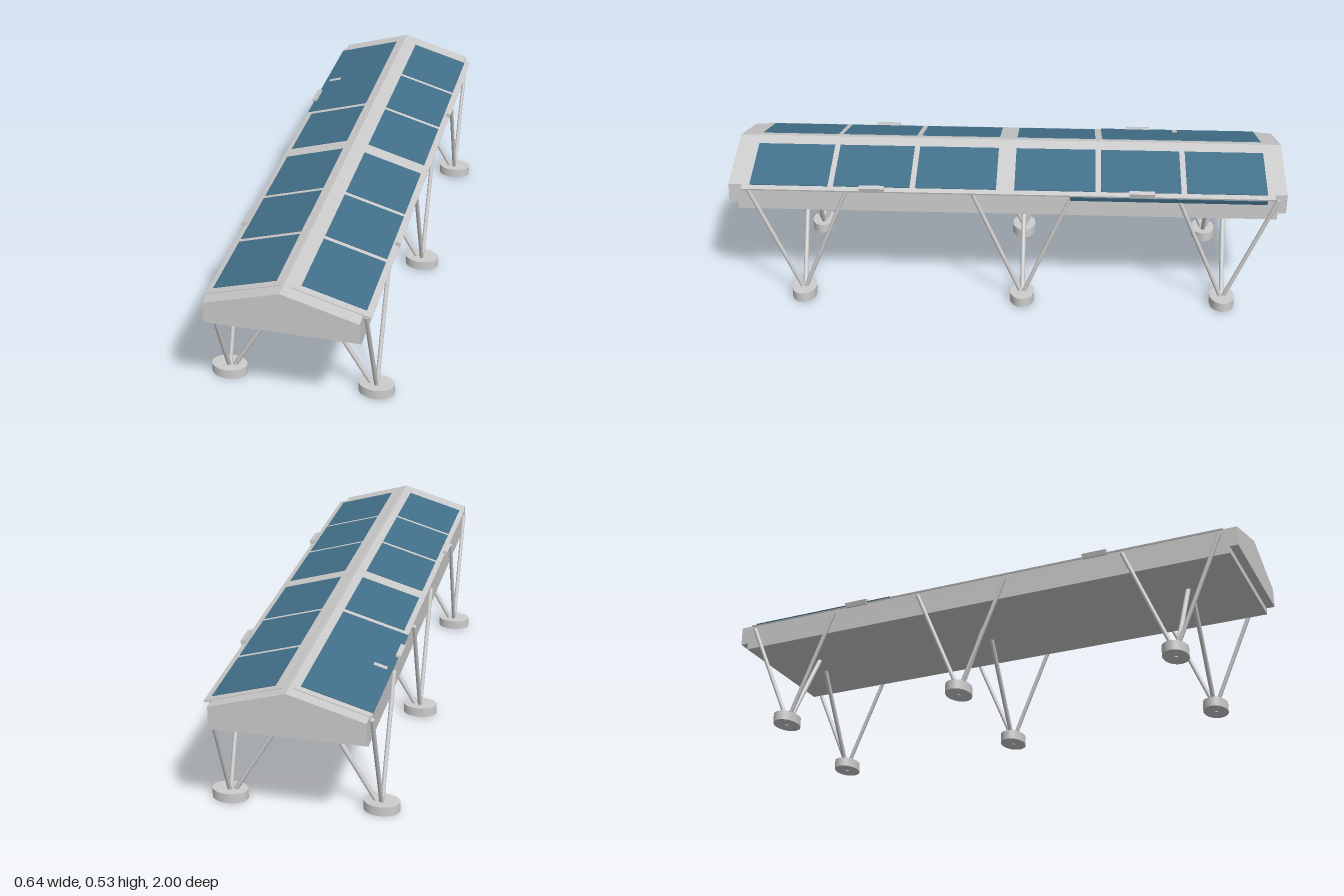
import * as THREE from 'three';

const grey = new THREE.MeshStandardMaterial({ color: 0xcccccc });
grey.name = 'light grey';
const blue = new THREE.MeshStandardMaterial({ color: 0x42708a });
blue.name = 'panel blue';

const SLOPE = Math.atan2(0.075, 0.257);

function add(parent, name, geometry, material, x = 0, y = 0, z = 0) {
  const mesh = new THREE.Mesh(geometry, material);
  mesh.name = name;
  mesh.position.set(x, y, z);
  parent.add(mesh);
  return mesh;
}

// Round tube between two points
function strut(parent, name, a, b, r) {
  const from = new THREE.Vector3(...a), to = new THREE.Vector3(...b);
  const dir = to.clone().sub(from);
  const mesh = add(parent, name, new THREE.CylinderGeometry(r, r, dir.length(), 16), grey);
  mesh.position.copy(from).add(to).multiplyScalar(0.5);
  mesh.quaternion.setFromUnitVectors(new THREE.Vector3(0, 1, 0), dir.normalize());
}

// Gabled hull with a shorter floor slab below
function buildBody(group) {
  const gable = new THREE.Shape();
  gable.moveTo(-0.257, 0.383);
  gable.lineTo(0.257, 0.383);
  gable.lineTo(0.257, 0.455);
  gable.lineTo(0, 0.53);
  gable.lineTo(-0.257, 0.455);
  gable.closePath();
  const hull = new THREE.ExtrudeGeometry(gable, { depth: 2, bevelEnabled: false });
  add(group, 'gabledBody', hull, grey, 0, 0, -1);
  add(group, 'floorSlab', new THREE.BoxGeometry(0.514, 0.027, 1.94), grey, 0, 0.3715, 0);
}

// Tilted roof frame carrying the window panels; u runs down the slope
function buildRoofSide(group, side, start, end, panelStart, panelEnd, spans) {
  const roof = new THREE.Group();
  roof.name = side > 0 ? 'leftRoof' : 'rightRoof';
  roof.position.y = 0.53;
  roof.rotation.z = -side * SLOPE;
  group.add(roof);
  const k = 1 / Math.cos(SLOPE);
  const plate = (name, x0, x1, z0, z1, top, thick, material) => add(
    roof, name, new THREE.BoxGeometry((x1 - x0) * k, thick, z1 - z0), material,
    side * (x0 + x1) / 2 * k, top - thick / 2, (z0 + z1) / 2);
  plate('roofFrame', start, end, -0.955, 0.95, 0.003, 0.006, grey);
  for (const [z0, z1, extra = 0] of spans) {
    plate('windowPanel', panelStart, panelEnd + extra, z0, z1, 0.005, 0.004, blue);
  }
  if (side < 0) plate('frameStub', 0.2, 0.245, -0.635, -0.617, 0.007, 0.005, grey);
}

// Elliptical foot with two outer struts and one inner brace
function buildLeg(group, side, z) {
  const leg = new THREE.Group();
  leg.name = 'leg';
  group.add(leg);
  const foot = add(leg, 'footPad', new THREE.CylinderGeometry(1, 1, 0.035, 32), grey, side * 0.26, 0.0205, z);
  foot.scale.set(0.0625, 1, 0.045);
  add(leg, 'footPin', new THREE.CylinderGeometry(0.007, 0.007, 0.01, 12), grey, side * 0.26, 0.005, z);
  for (const dz of [-0.175, 0.18]) {
    strut(leg, 'outerStrut', [side * 0.26, 0.02, z], [side * 0.2615, 0.438, z + dz], 0.0075);
  }
  strut(leg, 'innerBrace', [side * 0.25, 0.02, z], [side * 0.045, 0.368, z], 0.0085);
}

export function createModel() {
  const model = new THREE.Group();
  model.name = 'stiltedBuilding';
  buildBody(model);

  const front = [[0.035, 0.325], [0.345, 0.62], [0.64, 0.922]];
  buildRoofSide(model, 1, 0.02, 0.283, 0.05, 0.262,
    [[-0.93, -0.645], [-0.625, -0.34], [-0.32, -0.03], ...front]);
  // The rear bay on this side is one long panel reaching the eave
  buildRoofSide(model, -1, 0.01, 0.262, 0.03, 0.243,
    [[-0.93, -0.345, 0.02], [-0.32, -0.03], ...front]);

  // Blue strip tucked under the rear eave
  const strip = add(model, 'eaveStrip', new THREE.BoxGeometry(0.008, 0.018, 0.7), blue, 0.267, 0.431, -0.58);
  strip.rotation.z = -0.35;

  // Small boxes along both eaves
  for (const side of [-1, 1]) {
    for (const z of [-0.485, 0.48]) {
      const box = add(model, 'eaveBox', new THREE.BoxGeometry(0.018, 0.019, 0.09), grey,
        side > 0 ? 0.279 : -0.262, 0.457, z);
      box.rotation.z = -side * SLOPE;
    }
  }

  for (const z of [-0.795, -0.06, 0.75]) buildLeg(model, 1, z);
  for (const z of [-0.763, -0.05, 0.758]) buildLeg(model, -1, z);
  return model;
}
